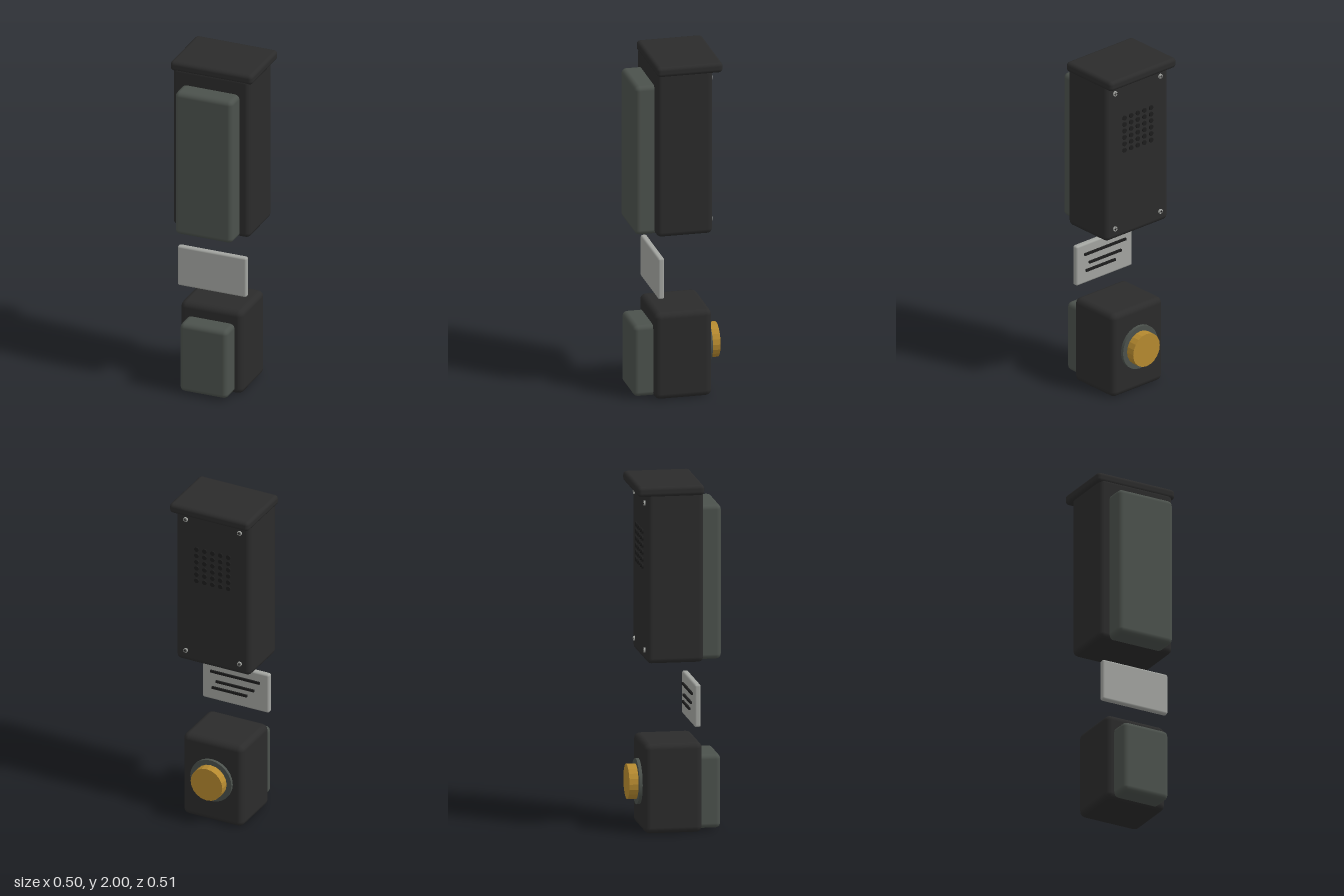
import * as THREE from 'three';
import { RoundedBoxGeometry } from 'three/addons/geometries/RoundedBoxGeometry.js';

const material = (name, color) => {
  const m = new THREE.MeshStandardMaterial({ color });
  m.name = name;
  return m;
};

export function createModel() {
  const model = new THREE.Group();
  model.name = 'callPost';

  const black = material('black casing', 0x2b2b2b);
  const slate = material('slate grey', 0x4b514c);
  const silver = material('pale grey', 0xa2a4a0);
  const brass = material('brass', 0xb5892f);
  brass.flatShading = true;
  const dark = material('dark detail', 0x1d1d1d);

  const add = (name, geometry, mat, x = 0, y = 0, z = 0, parent = model) => {
    const mesh = new THREE.Mesh(geometry, mat);
    mesh.name = name;
    mesh.position.set(x, y, z);
    parent.add(mesh);
    return mesh;
  };

  // Rounded box given by its half width and its y and z limits
  const block = (name, mat, halfW, y0, y1, z0, z1, radius) =>
    add(name, new RoundedBoxGeometry(halfW * 2, y1 - y0, z1 - z0, 2, radius), mat,
      0, (y0 + y1) / 2, (z0 + z1) / 2);

  // Disc whose axis runs along z
  const disc = (radius, depth, sides) =>
    new THREE.CylinderGeometry(radius, radius, depth, sides).rotateX(Math.PI / 2);

  // Upper housing with its overhanging cap and front panel
  block('cap', black, 0.25, 1.94, 2.0, -0.235, 0.145, 0.022);
  block('upperHousing', black, 0.235, 0.985, 1.97, -0.18, 0.143, 0.03);
  block('upperFrontPanel', slate, 0.175, 0.988, 1.87, 0.06, 0.253, 0.028);

  // Speaker grille: raised studs on the back
  const grille = new THREE.Group();
  grille.name = 'speakerGrille';
  model.add(grille);
  const stud = disc(0.014, 0.02, 10);
  for (let row = 0; row < 6; row++) {
    for (let col = 0; col < 5; col++) {
      add('grilleStud', stud, dark, (col - 2) * 0.05, 1.52 + row * 0.04, -0.178, grille);
    }
  }

  // Corner screws with crossed slots
  const head = disc(0.014, 0.016, 10);
  const slot = new THREE.BoxGeometry(0.02, 0.004, 0.004);
  for (const x of [-0.17, 0.17]) {
    for (const y of [1.055, 1.893]) {
      const screw = new THREE.Group();
      screw.name = 'screw';
      screw.position.set(x, y, -0.181);
      model.add(screw);
      add('screwHead', head, silver, 0, 0, 0, screw);
      for (const turn of [0, Math.PI / 2]) {
        add('screwSlot', slot, dark, 0, 0, -0.0075, screw).rotation.z = turn;
      }
    }
  }

  // Name plate with raised bars on the back
  block('namePlate', silver, 0.21, 0.61, 0.855, 0.094, 0.13, 0.012);
  for (const [x, y, length] of [[0, 0.792, 0.31], [0, 0.734, 0.24], [0.035, 0.69, 0.22]]) {
    add('plateBar', new THREE.BoxGeometry(length, 0.014, 0.014), dark, x, y, 0.091);
  }

  // Lower housing with its front panel
  block('lowerHousing', black, 0.19, 0.005, 0.52, -0.187, 0.143, 0.035);
  block('lowerFrontPanel', slate, 0.145, 0.018, 0.44, 0.06, 0.255, 0.028);

  // Push button on the back
  add('buttonRing', disc(0.13, 0.03, 24), slate, 0, 0.274, -0.19);
  add('button', disc(0.1, 0.06, 20), brass, 0, 0.274, -0.227);

  return model;
}
